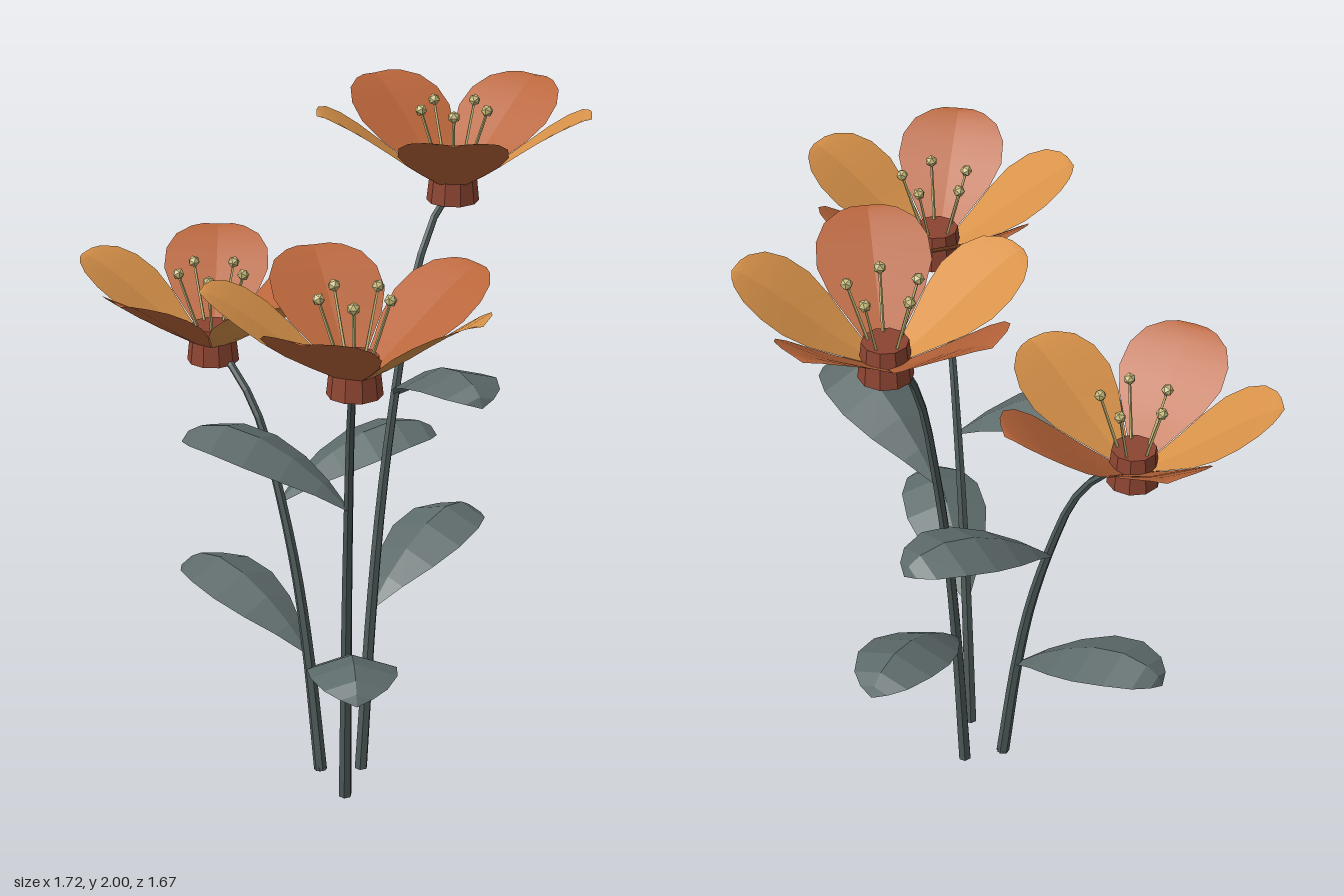
import * as THREE from 'three';

const mat = (name, color, side = THREE.FrontSide) => {
  const m = new THREE.MeshStandardMaterial({ color, side });
  m.name = name;
  return m;
};

// Facet a geometry so every face has its own normal
function facet(geo) {
  const g = geo.index ? geo.toNonIndexed() : geo;
  g.computeVertexNormals();
  return g;
}

// Blade along +x from stations [distance, height, half width];
// edges sit fold * half width above the midrib, which stays a sharp crease
function blade(stations, fold, flat) {
  const pos = [], idx = [];
  for (const s of [1, -1]) {
    const start = pos.length / 3;
    stations.forEach(([x, y, w]) => pos.push(x, y, 0, x, y + fold * w, s * w));
    for (let i = 0; i < stations.length - 1; i++) {
      const a = start + i * 2, b = a + 1, c = a + 2, d = a + 3;
      if (s > 0) idx.push(a, b, c, b, d, c);
      else idx.push(a, c, b, b, c, d);
    }
  }
  const g = new THREE.BufferGeometry();
  g.setAttribute('position', new THREE.Float32BufferAttribute(pos, 3));
  g.setIndex(idx);
  if (flat) return facet(g);
  g.computeVertexNormals();
  return g;
}

// Tube narrowing from radius r0 to r1 along a curve
function taperedTube(curve, r0, r1, segments, sides) {
  const g = new THREE.TubeGeometry(curve, segments, r0, sides);
  const p = g.attributes.position, v = new THREE.Vector3();
  for (let i = 0; i <= segments; i++) {
    const c = curve.getPointAt(i / segments);
    const k = 1 + (r1 / r0 - 1) * (i / segments);
    for (let j = 0; j <= sides; j++) {
      const n = i * (sides + 1) + j;
      v.fromBufferAttribute(p, n).sub(c).multiplyScalar(k).add(c);
      p.setXYZ(n, v.x, v.y, v.z);
    }
  }
  return facet(g);
}

const PETAL = [
  [0.05, 0.055, 0.035], [0.12, 0.1, 0.085], [0.18, 0.142, 0.13], [0.24, 0.187, 0.157],
  [0.3, 0.23, 0.153], [0.35, 0.262, 0.125], [0.385, 0.28, 0.08], [0.4, 0.286, 0.045], [0.412, 0.285, 0],
];
const LEAF = [
  [0, 0, 0.008], [0.08, 0.07, 0.055], [0.17, 0.13, 0.1], [0.27, 0.178, 0.127],
  [0.37, 0.2, 0.122], [0.45, 0.188, 0.088], [0.49, 0.165, 0.045], [0.505, 0.135, 0],
];
// Stem bend: [fraction of height, fraction of lean]
const BEND = [[0, 0], [0.3, 0.115], [0.5, 0.225], [0.69, 0.38], [0.862, 0.57], [0.965, 0.81], [1, 1]];

export function createModel() {
  const model = new THREE.Group();
  const stemMat = mat('stem grey green', 0x4d5a59);
  const leafMat = mat('leaf grey green', 0x5e6b6b, THREE.DoubleSide);
  const rustMat = mat('rust petal', 0xb9653a, THREE.DoubleSide);
  const amberMat = mat('amber petal', 0xd9934a, THREE.DoubleSide);
  const cupMat = mat('red brown cup', 0x8c4431);
  const stamenMat = mat('pale stamen', 0xc6ba7a);

  const petalGeo = blade(PETAL, 0.1, false);
  const leafGeo = blade(LEAF, -0.33, true);
  const cupGeo = facet(new THREE.CylinderGeometry(0.065, 0.077, 0.11, 10));
  const antherGeo = facet(new THREE.IcosahedronGeometry(0.018, 0));
  const filamentGeo = taperedTube(new THREE.LineCurve3(
    new THREE.Vector3(0.045, 0.1, 0), new THREE.Vector3(0.1, 0.275, 0)), 0.005, 0.004, 1, 4);

  const add = (parent, name, geo, material) => {
    const m = new THREE.Mesh(geo, material);
    m.name = name;
    parent.add(m);
    return m;
  };

  function makeFlower(spin) {
    const flower = new THREE.Group();
    flower.name = 'flower';
    add(flower, 'cup', cupGeo, cupMat).position.y = 0.055;
    for (let i = 0; i < 5; i++) {
      const a = (i * Math.PI * 2) / 5;
      add(flower, 'petal', petalGeo, i % 2 ? amberMat : rustMat).rotation.y = -(a + spin);
      const stamen = new THREE.Group();
      stamen.name = 'stamen';
      stamen.rotation.y = -a;
      add(stamen, 'filament', filamentGeo, stamenMat);
      add(stamen, 'anther', antherGeo, stamenMat).position.set(0.1, 0.278, 0);
      flower.add(stamen);
    }
    return flower;
  }

  // Three stalks, each leaning its own way: base, flower centre, cup height
  const stalks = [
    { base: [0.012, 0.07], top: [0.44, 0.07], y: 1.7 },
    { base: [-0.152, 0.138], top: [-0.47, 0.42], y: 1.46 },
    { base: [-0.072, -0.02], top: [-0.04, -0.45], y: 1.22 },
  ];
  stalks.forEach(({ base, top, y }, n) => {
    const stalk = new THREE.Group();
    stalk.name = 'stalk';
    const dx = top[0] - base[0], dz = top[1] - base[1];
    const points = BEND.map(([h, l]) =>
      new THREE.Vector3(base[0] + dx * l, h * (y + 0.04), base[1] + dz * l));
    const curve = new THREE.CatmullRomCurve3(points);
    add(stalk, 'stem', taperedTube(curve, 0.02, 0.011, 16, 6), stemMat);

    // Closed foot of the stem
    const foot = add(stalk, 'stemFoot', facet(new THREE.CylinderGeometry(0.019, 0.019, 0.01, 6)), stemMat);
    foot.position.set(base[0], 0.005, base[1]);

    // Lower leaf follows the lean, upper leaf turns away from it
    const lean = Math.atan2(dz, dx);
    [[1, 0], [3, 2]].forEach(([k, turn]) => {
      const leaf = add(stalk, 'leaf', leafGeo, leafMat);
      leaf.position.copy(points[k]);
      if (k === 3) leaf.position.y -= 0.03;
      leaf.rotation.y = -(lean + turn);
    });

    const flower = makeFlower(n * 0.3);
    flower.position.set(top[0], y, top[1]);
    stalk.add(flower);
    model.add(stalk);
  });
  return model;
}
